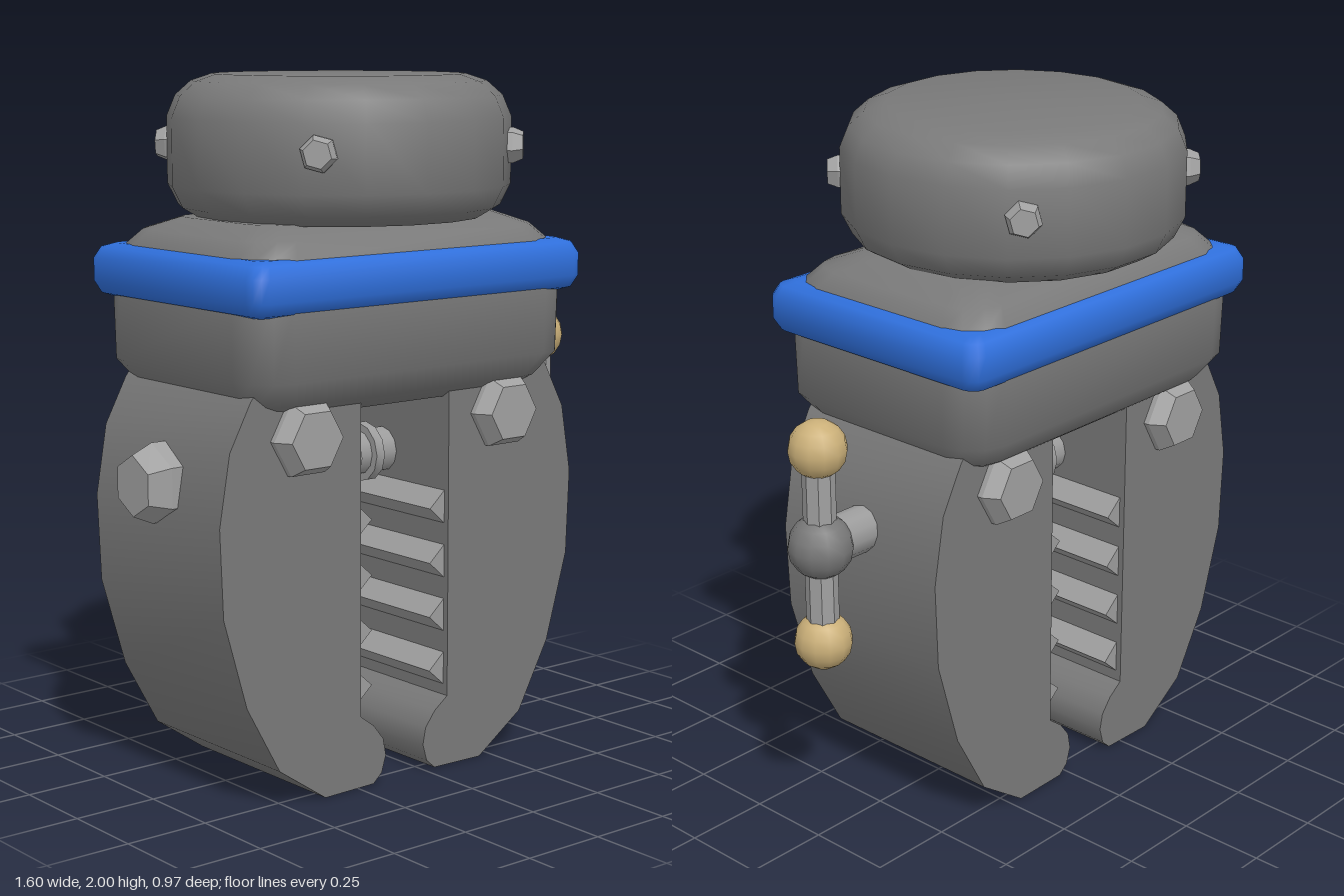
import * as THREE from 'three';
import { toCreasedNormals } from 'three/addons/utils/BufferGeometryUtils.js';

const CX = -0.08; // symmetry line of the clamp body
const iron = new THREE.MeshStandardMaterial({ color: 0x797979 });
const steel = new THREE.MeshStandardMaterial({ color: 0x9c9c9c });
const facetedSteel = new THREE.MeshStandardMaterial({ color: 0xa0a0a0, flatShading: true });
const blue = new THREE.MeshStandardMaterial({ color: 0x2f6fdb });
const brass = new THREE.MeshStandardMaterial({ color: 0xcbb079 });

function add(parent, name, geometry, material, x = 0, y = 0, z = 0) {
  const mesh = new THREE.Mesh(geometry, material);
  mesh.name = name;
  mesh.position.set(x, y, z);
  parent.add(mesh);
  return mesh;
}

// Closed solid through rounded rectangles: [y, halfX, halfZ, cornerRadius]
function loft(sections) {
  const pos = [], idx = [], per = 16;
  for (const [y, hx, hz, r] of sections) {
    for (let i = 0; i < per; i++) {
      const q = Math.floor(i / 4);
      const a = (q + (i % 4) / 3) * Math.PI / 2;
      const sx = q === 0 || q === 3 ? 1 : -1, sz = q < 2 ? 1 : -1;
      pos.push(sx * (hx - r) + r * Math.cos(a), y, sz * (hz - r) + r * Math.sin(a));
    }
  }
  const rows = sections.length;
  for (let j = 0; j < rows - 1; j++) {
    for (let i = 0; i < per; i++) {
      const a = j * per + i, b = j * per + (i + 1) % per;
      idx.push(a, a + per, b, b, a + per, b + per);
    }
  }
  const top = (rows - 1) * per;
  for (let i = 1; i < per - 1; i++) idx.push(0, i, i + 1, top, top + i + 1, top + i);
  const g = new THREE.BufferGeometry();
  g.setAttribute('position', new THREE.Float32BufferAttribute(pos, 3));
  g.setIndex(idx);
  return toCreasedNormals(g, 0.9);
}

// Prism from an x-y outline, centred on z
function prism(points, depth, crease) {
  const shape = new THREE.Shape(points.map(([x, y]) => new THREE.Vector2(x, y)));
  const g = new THREE.ExtrudeGeometry(shape, { depth, bevelEnabled: false });
  return toCreasedNormals(g.translate(0, 0, -depth / 2), crease);
}

// Six-sided bolt head with a tapered face, pointing along dir
function bolt(parent, name, r, h, at, dir) {
  const g = new THREE.LatheGeometry([
    [0, -h], [r, -h], [r, h * 0.3], [r * 0.76, h], [0, h],
  ].map(([x, y]) => new THREE.Vector2(x, y)), 6);
  g.rotateY(Math.PI / 2);
  const mesh = add(parent, name, g, facetedSteel, ...at);
  mesh.quaternion.setFromUnitVectors(new THREE.Vector3(0, 1, 0), dir.clone().normalize());
}

export function createModel() {
  const model = new THREE.Group();
  model.name = 'clamp';

  // Round cap with softened rims
  const capProfile = [
    [0, 1.6], [0.41, 1.6], [0.46, 1.63], [0.49, 1.69], [0.49, 1.88],
    [0.465, 1.94], [0.42, 1.98], [0.36, 2], [0, 2],
  ].map(([x, y]) => new THREE.Vector2(x, y));
  const cap = new THREE.LatheGeometry(capProfile, 18, Math.PI / 2);
  add(model, 'cap', toCreasedNormals(cap, 0.8), iron, CX);
  for (let i = 0; i < 4; i++) {
    const a = Math.PI / 4 + i * Math.PI / 2;
    const d = new THREE.Vector3(Math.cos(a), 0, Math.sin(a));
    bolt(model, 'capBolt', 0.052, 0.042, [CX + d.x * 0.482, 1.8, d.z * 0.482], d);
  }

  // Housing and the band around it
  add(model, 'housing', loft([
    [1.09, 0.46, 0.27, 0.08], [1.13, 0.52, 0.33, 0.1], [1.2, 0.572, 0.38, 0.12],
    [1.42, 0.575, 0.385, 0.12], [1.52, 0.555, 0.365, 0.12], [1.57, 0.51, 0.32, 0.11],
    [1.605, 0.43, 0.23, 0.09],
  ]), iron, CX);
  add(model, 'band', loft([
    [1.378, 0.555, 0.36, 0.03], [1.386, 0.578, 0.383, 0.04], [1.42, 0.595, 0.4, 0.045],
    [1.485, 0.595, 0.4, 0.045], [1.517, 0.578, 0.383, 0.04], [1.528, 0.545, 0.35, 0.03],
  ]), blue, CX);

  // Mirrored jaws with teeth and pivot bolts
  const outline = [
    [0.162, 1.2], [0.162, 0.21], [0.115, 0.175], [0.08, 0.13], [0.07, 0.08], [0.085, 0.03],
    [0.115, 0.003], [0.29, 0], [0.45, 0.11], [0.56, 0.31], [0.635, 0.57], [0.645, 0.82],
    [0.61, 1.02], [0.54, 1.15], [0.5, 1.2],
  ];
  for (const s of [-1, 1]) {
    const jaw = new THREE.Group();
    jaw.name = s > 0 ? 'leftJaw' : 'rightJaw';
    jaw.position.x = CX;
    model.add(jaw);
    const mirror = (pts) => pts.map(([x, y]) => [s * x, y]);
    add(jaw, 'jawPlate', prism(mirror(outline), 0.595, 0.7), iron);
    for (let i = 0; i < 4; i++) {
      const y = 0.29 + i * 0.16;
      add(jaw, 'tooth', prism(mirror([[0.17, y - 0.055], [0.108, y], [0.17, y + 0.055]]), 0.56, 0.1), steel);
    }
    for (const f of [-1, 1]) {
      bolt(jaw, 'pivotBolt', 0.115, 0.063, [s * 0.36, 1.035, f * 0.295], new THREE.Vector3(0, 0, f));
    }
  }

  // Cross screw with collars and an end nut
  const rod = (r, len) => toCreasedNormals(
    new THREE.CylinderGeometry(r, r, len, 12).rotateZ(Math.PI / 2), 0.7);
  add(model, 'screw', rod(0.066, 1.4), steel, 0, 0.9);
  for (let i = -1; i <= 1; i++) {
    add(model, 'collar', rod(0.088, 0.03), steel, CX + i * 0.085, 0.9);
  }
  bolt(model, 'endNut', 0.113, 0.09, [-0.71, 0.9, 0], new THREE.Vector3(-1, 0, 0));

  // Turning handle
  const handle = new THREE.Group();
  handle.name = 'handle';
  handle.position.set(0.705, 0.9, 0);
  model.add(handle);
  add(handle, 'hub', new THREE.SphereGeometry(0.093, 12, 8), iron);
  add(handle, 'bar', new THREE.CylinderGeometry(0.046, 0.046, 0.57, 8), facetedSteel);
  for (const s of [-1, 1]) {
    add(handle, 'handleKnob', new THREE.SphereGeometry(0.083, 12, 8), brass, 0, s * 0.288);
  }
  return model;
}
